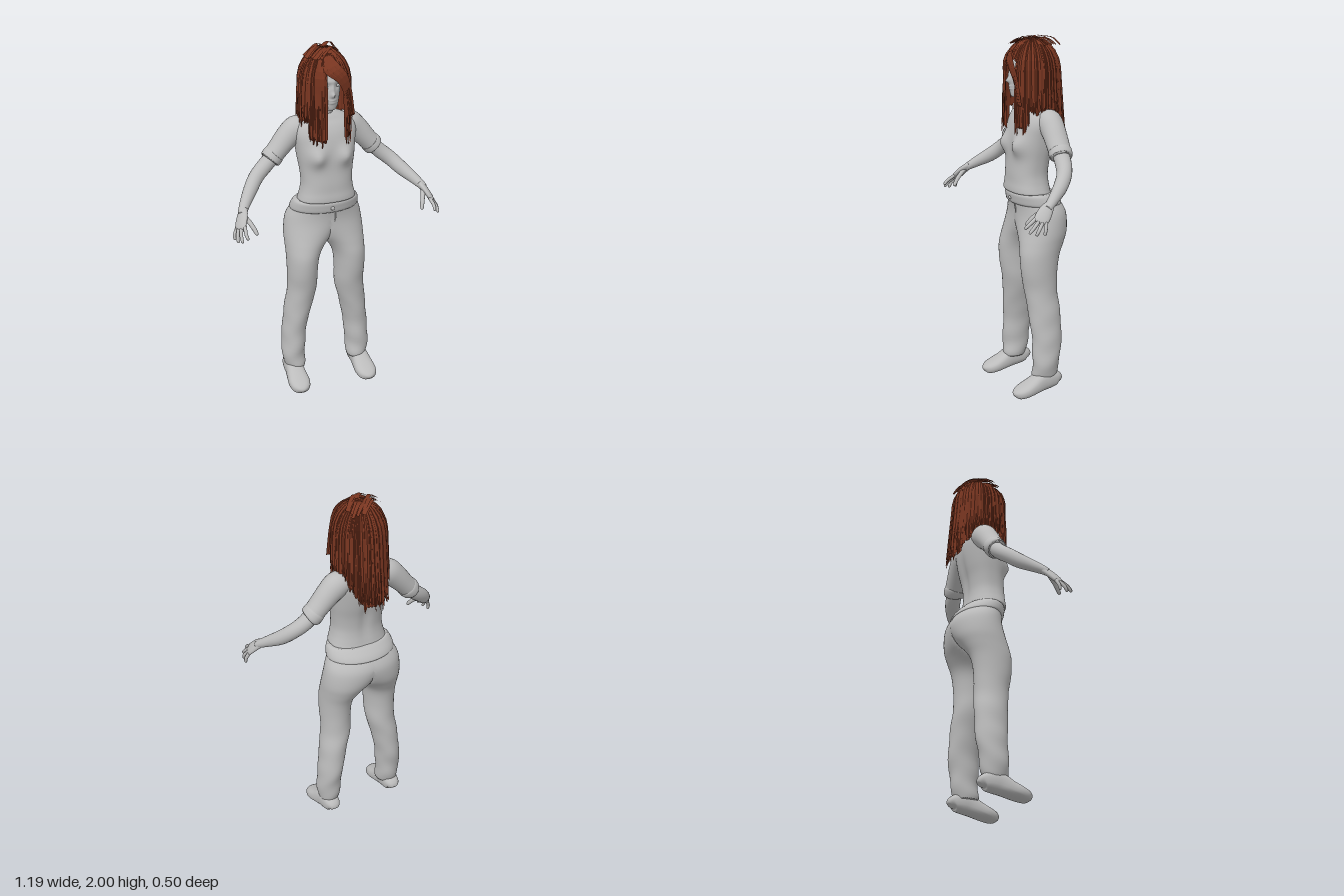
import * as THREE from 'three';
import { mergeGeometries } from 'three/addons/utils/BufferGeometryUtils.js';

const V = (x, y, z) => new THREE.Vector3(x, y, z);
const gauss = (d, w) => Math.exp(-(d * d) / (w * w));
const sgnPow = (v, p) => Math.sign(v) * Math.abs(v) ** p;

let seed = 7;
const rand = (a, b) => {
  seed = (seed * 16807) % 2147483647;
  return a + (b - a) * (seed / 2147483647);
};

// Catmull-Rom interpolation of whole rows of numbers
function smoothRows(rows, steps) {
  const out = [], last = rows.length - 1;
  for (let i = 0; i < last; i++) {
    const [a, b, c, d] = [rows[Math.max(i - 1, 0)], rows[i], rows[i + 1], rows[Math.min(i + 2, last)]];
    for (let s = 0; s < steps; s++) {
      const t = s / steps;
      out.push(b.map((v, k) => v + 0.5 * t * (c[k] - a[k] + t * (2 * a[k] - 5 * v + 4 * c[k] - d[k]
        + t * (3 * (v - c[k]) + d[k] - a[k])))));
    }
  }
  out.push(rows[last]);
  return out;
}

// Closed skin over rings of points, with a fan at either end
function skin(rings) {
  const n = rings[0].length, m = rings.length, index = [];
  const centre = ring => ring.reduce((s, p) => s.add(p), V(0, 0, 0)).divideScalar(n);
  const pts = [...rings.flat(), centre(rings[0]), centre(rings[m - 1])];
  for (let j = 0; j < n; j++) {
    const k = (j + 1) % n;
    for (let i = 0; i < m - 1; i++) {
      const a = i * n + j, b = i * n + k;
      index.push(a, a + n, b, b, a + n, b + n);
    }
    index.push(n * m, j, k, n * m + 1, (m - 1) * n + k, (m - 1) * n + j);
  }
  const g = new THREE.BufferGeometry().setFromPoints(pts);
  g.setIndex(index);
  g.computeVertexNormals();
  return g;
}

// Upright form from rows [y, centre x, half width, front z, back z]
function upright(rows, { seg = 40, steps = 4, power = 1, warp } = {}) {
  return skin(smoothRows(rows, steps).map(([y, cx, rx, zf, zb]) => Array.from({ length: seg }, (_, j) => {
    const a = (j / seg) * Math.PI * 2;
    const p = V(cx + rx * sgnPow(Math.cos(a), power), y, (zf + zb) / 2 + (zf - zb) / 2 * sgnPow(Math.sin(a), power));
    if (warp) warp(p);
    return p;
  })));
}

// Limb along rows [x, y, z, radius along hint, radius across]
function limb(rows, hint = V(0, 1, 0), { seg = 16, steps = 4, power = 1 } = {}) {
  const r = smoothRows(rows, steps), at = i => V(...r[i].slice(0, 3));
  return skin(r.map((row, i) => {
    const d = at(Math.min(i + 1, r.length - 1)).sub(at(Math.max(i - 1, 0))).normalize();
    const u = hint.clone().addScaledVector(d, -hint.dot(d)).normalize();
    const v = u.clone().cross(d);
    return Array.from({ length: seg }, (_, j) => {
      const a = (j / seg) * Math.PI * 2;
      return at(i).addScaledVector(u, row[3] * sgnPow(Math.cos(a), power)).addScaledVector(v, row[4] * sgnPow(Math.sin(a), power));
    });
  }));
}

function mirrored(geometry) {
  const g = geometry.clone(), p = g.attributes.position, n = g.attributes.normal, ix = g.index.array;
  for (let i = 0; i < p.count; i++) { p.setX(i, -p.getX(i)); n.setX(i, -n.getX(i)); }
  for (let i = 0; i < ix.length; i += 3) [ix[i + 1], ix[i + 2]] = [ix[i + 2], ix[i + 1]];
  return g;
}

// Flat-shaded strip of hair, f(t, w) with t root to tip and w from -1 to 1
function ribbon(f, rows = 10, cols = 2) {
  const g = new THREE.PlaneGeometry(1, 1, cols, rows), p = g.attributes.position;
  for (let i = 0; i < p.count; i++) p.setXYZ(i, ...f(0.5 - p.getY(i), p.getX(i) * 2).toArray());
  const flat = g.toNonIndexed();
  flat.computeVertexNormals();
  return flat;
}

// Lowest point of the hair by azimuth in degrees (0 front, positive towards +x)
function hairEnd(a) {
  const d = Math.abs(a);
  if (a > -19 && a < 31) return 1.885;
  if (d < 58) return 1.51;
  if (d < 115) return 1.6;
  return 1.58 - 0.14 * Math.min((d - 115) / 45, 1);
}

// Point on the hair: over the crown, then hanging with a slight flare
function hairPoint(deg, t, end, lift) {
  const a = THREE.MathUtils.degToRad(deg), top = 0.17 + lift;
  const stop = end > 1.81 ? Math.acos((end - 1.81) / top) : Math.PI / 2;
  const knee = end > 1.81 ? 1 : 0.45;
  const polar = 0.06 + (stop - 0.06) * Math.min(t / knee, 1);
  const y = t <= knee ? 1.81 + top * Math.cos(polar) : THREE.MathUtils.lerp(1.81, end, (t - knee) / (1 - knee));
  const r = Math.sin(polar), f = Math.max(0, 1.81 - y) / 0.35, c = Math.cos(a);
  return V((0.131 + lift + 0.012 * f) * r * Math.sin(a), y,
    -0.06 + (0.146 + lift) * r * c + f * (c > 0 ? 0.012 : 0.03) * c);
}

function buildHair() {
  const parts = [];
  const lock = (a, half, end, lift, taper) => {
    const drift = rand(-3, 3);
    parts.push(ribbon((t, w) => {
      const width = half * (1 - taper * Math.max(0, t - 0.7) / 0.3);
      return hairPoint(a + drift * t + w * width, t, end - (1 - Math.abs(w)) * 0.012, lift + (1 - Math.abs(w)) * 0.004);
    }, 12));
  };
  // closed under-layer, then loose outer locks
  for (let a = -176; a <= 180; a += 6) lock(a, 5.5, hairEnd(a) + 0.015, 0, 0.1);
  for (let i = 0; i < 110; i++) {
    const a = -180 + (i * 360) / 110 + rand(-2, 2), end = hairEnd(a);
    if (end < 1.8) lock(a, rand(3, 6), end + rand(-0.025, 0.04), rand(0.003, 0.012), rand(0.4, 0.9));
    else lock(a, 5, end, 0.005, 0.2);
  }
  // strip along a curve, widened across the front plane
  const sweep = (points, half, flat) => {
    const curve = new THREE.CatmullRomCurve3(points);
    parts.push(ribbon((t, w) => {
      const d = curve.getTangent(t), side = flat ? V(-d.z, 0, d.x) : V(-d.y, d.x, 0);
      const p = curve.getPoint(t).addScaledVector(side.normalize(), w * half * (1 - 0.5 * t));
      p.z += flat ? 0 : (1 - Math.abs(w)) * 0.004;
      return p;
    }));
  };
  // fringe swept across the forehead from a side parting
  for (let i = 0; i < 9; i++) {
    const k = i / 8, z = rand(-0.003, 0.003);
    sweep([V(-0.05 + 0.04 * k, 1.95 + 0.01 * k, 0.02), V(-0.025 + 0.05 * k, 1.895 + 0.02 * k, 0.078 + z),
      V(0.03 + 0.03 * k, 1.85 + 0.025 * k, 0.092 + z), V(0.072 + 0.02 * k, 1.77 + 0.02 * k, 0.08 + z),
      V(0.09 + 0.03 * k, 1.64, 0.066)], 0.02);
  }
  for (let i = 0; i < 5; i++) {
    const k = i / 4;
    sweep([V(-0.045, 1.95, 0.02), V(-0.055 - 0.03 * k, 1.88, 0.078 - 0.02 * k), V(-0.05 - 0.04 * k, 1.78, 0.085 - 0.02 * k),
      V(-0.06 - 0.03 * k, 1.64, 0.075), V(-0.04 - 0.05 * k, 1.5 + 0.02 * k, 0.075)], 0.016);
  }
  // tousled crown
  for (let i = 0; i < 16; i++) {
    const x = rand(-0.05, 0.05), z = rand(-0.12, -0.02), h = rand(1.982, 1.995);
    sweep([V(x - 0.07, 1.955, z + 0.05), V(x - 0.02, h, z + 0.02), V(x + 0.03, h, z - 0.03), V(x + 0.07, 1.955, z - 0.06)], 0.016, true);
  }
  return mergeGeometries(parts);
}

export function createModel() {
  const model = new THREE.Group();
  const grey = new THREE.MeshStandardMaterial({ color: 0xbcbcbc });
  grey.name = 'plain grey';
  const auburn = new THREE.MeshStandardMaterial({ color: 0x783520, side: THREE.DoubleSide });
  auburn.name = 'auburn hair';
  const add = (name, geometry, material = grey) => {
    const mesh = new THREE.Mesh(geometry, material);
    mesh.name = name;
    model.add(mesh);
    return mesh;
  };
  const pair = (name, geometry) => { add(name + 'Left', geometry); add(name + 'Right', mirrored(geometry)); };

  // trousers: each half closes on the centre line above the crotch
  const leg = upright([
    [0.1, 0.193, 0.054, 0.02, -0.108], [0.13, 0.196, 0.062, 0.028, -0.117], [0.2, 0.198, 0.067, 0.025, -0.13],
    [0.3, 0.193, 0.068, 0.025, -0.145], [0.4, 0.18, 0.071, 0.03, -0.15], [0.5, 0.163, 0.078, 0.04, -0.146],
    [0.6, 0.144, 0.083, 0.05, -0.14], [0.7, 0.143, 0.085, 0.068, -0.14], [0.8, 0.138, 0.092, 0.074, -0.155],
    [0.87, 0.118, 0.113, 0.066, -0.187], [0.93, 0.085, 0.147, 0.058, -0.216], [1, 0.04, 0.186, 0.052, -0.23],
    [1.05, 0.015, 0.2, 0.053, -0.225], [1.1, 0, 0.191, 0.06, -0.196], [1.14, 0, 0.173, 0.065, -0.155],
  ], { seg: 48, warp: p => {
    const low = Math.max(0, 1 - p.y / 0.75);
    p.z += 0.005 * low * Math.sin(p.y * 38 + p.x * 25);
    p.x = Math.max(0, p.x + 0.003 * low * Math.sin(p.y * 45 + p.z * 20));
  } });
  const lp = leg.attributes.position, ln = leg.attributes.normal;
  for (let i = 0; i < lp.count; i++) {
    if (lp.getX(i) < 1e-5 && lp.getY(i) > 0.98) {
      const n = V(0, ln.getY(i), ln.getZ(i)).normalize();
      ln.setXYZ(i, n.x, n.y, n.z);
    }
  }
  pair('trouserLeg', leg);
  add('waistband', upright([[1.083, 0, 0.192, 0.06, -0.208], [1.092, 0, 0.199, 0.07, -0.21], [1.115, 0, 0.196, 0.075, -0.196],
    [1.14, 0, 0.187, 0.078, -0.172], [1.152, 0, 0.175, 0.07, -0.158]]));
  add('waistButton', new THREE.SphereGeometry(0.012, 12, 8)).position.set(0, 1.115, 0.072);
  add('flySeam', limb([[0.025, 1.09, 0.06, 0.004, 0.004], [0.025, 1.04, 0.051, 0.004, 0.004], [0.006, 0.98, 0.042, 0.003, 0.003]], V(0, 0, 1)));

  // shoes
  const shoe = [[-0.13, 0.045, 0.085, 0.02], [-0.115, 0.038, 0.12, 0.042], [-0.07, 0.032, 0.14, 0.05], [-0.02, 0.024, 0.135, 0.052],
    [0.03, 0.015, 0.105, 0.058], [0.08, 0.006, 0.08, 0.062], [0.12, 0, 0.062, 0.052], [0.142, 0.004, 0.047, 0.032], [0.151, 0.012, 0.03, 0.01]];
  pair('shoe', limb(shoe.map(([z, lo, hi, w]) => [0.205 + 0.03 * z, (lo + hi) / 2, z, (hi - lo) / 2, w]), V(0, 1, 0), { seg: 24, power: 0.8 }));

  // shirt with bust and a soft hem
  add('shirt', upright([
    [1.148, 0, 0.15, 0.07, -0.135], [1.153, 0, 0.164, 0.083, -0.146], [1.175, 0, 0.159, 0.084, -0.139], [1.21, 0, 0.15, 0.08, -0.132],
    [1.26, 0, 0.144, 0.078, -0.13], [1.33, 0, 0.15, 0.072, -0.138], [1.4, 0, 0.161, 0.07, -0.154], [1.47, 0, 0.17, 0.064, -0.166],
    [1.53, 0, 0.178, 0.05, -0.17], [1.575, 0, 0.168, 0.03, -0.165], [1.605, 0, 0.135, 0.01, -0.153], [1.625, 0, 0.095, -0.002, -0.14],
    [1.638, 0, 0.06, -0.012, -0.122],
  ], { seg: 64, power: 0.85, warp: p => {
    if (p.z > -0.03) p.z += 0.036 * gauss(Math.abs(p.x) - 0.083, 0.045) * gauss(p.y - 1.415, 0.05) * Math.min(1, (p.z + 0.03) / 0.05);
    else p.z += 0.012 * gauss(p.x, 0.03) * gauss(p.y - 1.35, 0.15);
    p.y -= 0.02 * gauss(p.y - 1.15, 0.03) * Math.max(0, -p.z - 0.05) / 0.1;
  } }));
  const collar = add('collar', new THREE.TorusGeometry(0.062, 0.008, 8, 36));
  collar.rotation.x = Math.PI / 2 + 0.25;
  collar.position.set(0, 1.625, -0.062);
  pair('sleeve', limb([[0.1, 1.555, -0.09, 0.055, 0.06], [0.15, 1.547, -0.09, 0.071, 0.069], [0.2, 1.507, -0.09, 0.066, 0.066],
    [0.25, 1.453, -0.087, 0.058, 0.063], [0.3, 1.397, -0.083, 0.053, 0.06], [0.309, 1.387, -0.082, 0.046, 0.052]], V(0, 1, 0), { seg: 28 }));
  pair('sleeveCuff', limb([[0.278, 1.42, -0.085, 0.05, 0.055], [0.282, 1.416, -0.085, 0.058, 0.064], [0.304, 1.392, -0.083, 0.057, 0.063],
    [0.309, 1.387, -0.082, 0.049, 0.055]], V(0, 1, 0), { seg: 28 }));

  // arms and hands
  pair('arm', limb([[0.27, 1.425, -0.085, 0.04, 0.045], [0.335, 1.362, -0.078, 0.042, 0.045], [0.395, 1.312, -0.053, 0.041, 0.041],
    [0.445, 1.262, -0.005, 0.039, 0.038], [0.488, 1.223, 0.05, 0.031, 0.031], [0.518, 1.194, 0.093, 0.024, 0.026], [0.53, 1.178, 0.115, 0.02, 0.024]], V(0, 1, 0), { seg: 20 }));
  pair('palm', limb([[0.515, 1.197, 0.09, 0.024, 0.02], [0.532, 1.172, 0.122, 0.036, 0.018], [0.548, 1.143, 0.15, 0.04, 0.016],
    [0.558, 1.122, 0.168, 0.036, 0.012], [0.561, 1.116, 0.173, 0.024, 0.006]], V(-0.5, 0.35, 0.8), { seg: 20 }));
  const fingers = {
    indexFinger: [[0.537, 1.138, 0.183], [0.544, 1.112, 0.222], [0.54, 1.088, 0.25]],
    middleFinger: [[0.553, 1.127, 0.173], [0.566, 1.095, 0.21], [0.566, 1.068, 0.236]],
    ringFinger: [[0.564, 1.12, 0.158], [0.58, 1.086, 0.186], [0.58, 1.057, 0.203]],
    littleFinger: [[0.57, 1.118, 0.142], [0.586, 1.085, 0.152], [0.587, 1.056, 0.158]],
    thumb: [[0.525, 1.175, 0.12], [0.497, 1.135, 0.175], [0.477, 1.09, 0.212]],
  };
  for (const [name, [a, b, c]] of Object.entries(fingers)) {
    const r = name === 'thumb' ? 0.013 : 0.01, near = c.map((v, k) => v * 0.85 + b[k] * 0.15);
    pair(name, limb([[...a, r, r], [...b, r * 0.95, r * 0.95], [...near, r * 0.75, r * 0.75], [...c, 0.002, 0.002]], V(1, 0.2, 0), { seg: 10 }));
  }

  // neck, head and face
  add('neck', limb([[0, 1.58, -0.075, 0.06, 0.056], [0, 1.64, -0.062, 0.052, 0.048], [0, 1.74, -0.048, 0.052, 0.05]], V(0, 0, 1), { seg: 24 }));
  add('head', upright([[1.672, 0, 0.018, 0.05, 0], [1.68, 0, 0.034, 0.064, -0.03], [1.7, 0, 0.05, 0.07, -0.07], [1.73, 0, 0.06, 0.074, -0.11],
    [1.77, 0, 0.069, 0.077, -0.14], [1.82, 0, 0.073, 0.076, -0.155], [1.87, 0, 0.072, 0.07, -0.155], [1.91, 0, 0.062, 0.045, -0.14], [1.945, 0, 0.03, 0, -0.09]],
  { seg: 80, steps: 8, warp: p => {
    if (p.z < 0.02) return;
    const x = Math.abs(p.x);
    p.z += 0.02 * gauss(x, 0.011) * gauss(p.y - 1.766, 0.014) + 0.008 * gauss(x, 0.009) * gauss(p.y - 1.795, 0.025)
      - 0.009 * gauss(x - 0.03, 0.017) * gauss(p.y - 1.812, 0.013) + 0.004 * gauss(p.y - 1.838, 0.01)
      + 0.006 * gauss(x, 0.02) * (gauss(p.y - 1.735, 0.006) + gauss(p.y - 1.721, 0.006));
  } }));
  for (const s of [-1, 1]) {
    const eye = add(s > 0 ? 'eyeLeft' : 'eyeRight', new THREE.SphereGeometry(0.012, 16, 12));
    eye.scale.set(1.1, 0.7, 0.8);
    eye.position.set(s * 0.03, 1.812, 0.055);
  }

  add('hair', buildHair(), auburn);
  return model;
}
